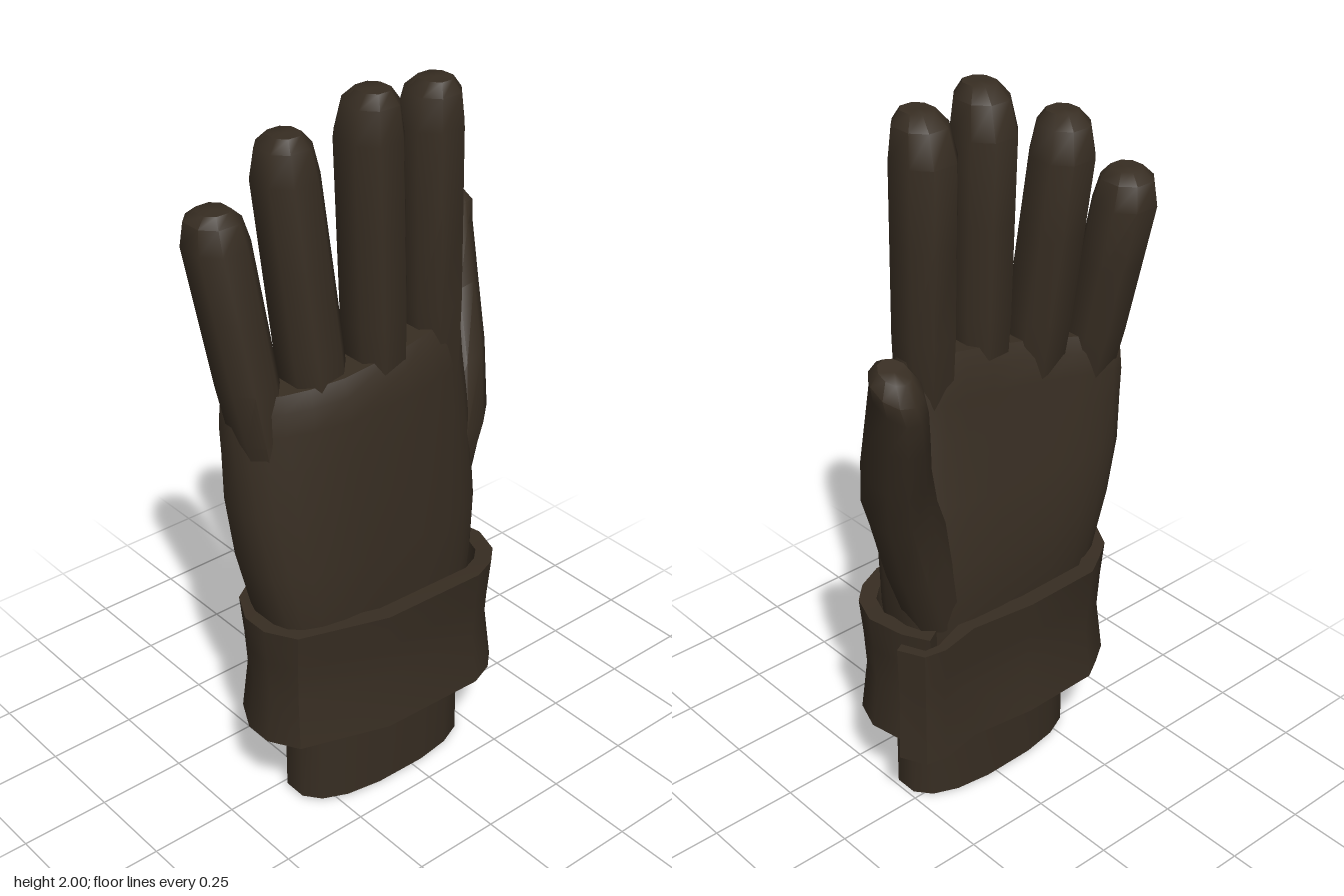
import * as THREE from 'three';
import { toCreasedNormals } from 'three/addons/utils/BufferGeometryUtils.js';

const leather = new THREE.MeshStandardMaterial({ color: 0x372d22 });
leather.name = 'dark brown leather';

// Skins a row of closed rings and caps both ends
function skin(rings, crease = 0.85) {
  const n = rings[0].length, pos = [], idx = [];
  rings.forEach(r => r.forEach(p => pos.push(p.x, p.y, p.z)));
  for (let i = 0; i < rings.length - 1; i++) {
    for (let j = 0; j < n; j++) {
      const a = i * n + j, b = i * n + (j + 1) % n;
      idx.push(a, a + n, b, b, a + n, b + n);
    }
  }
  [0, rings.length - 1].forEach((row, end) => {
    const c = new THREE.Vector3();
    rings[row].forEach(p => c.addScaledVector(p, 1 / n));
    const k = pos.length / 3;
    pos.push(c.x, c.y, c.z);
    for (let j = 0; j < n; j++) {
      const a = row * n + j, b = row * n + (j + 1) % n;
      if (end) idx.push(k, b, a); else idx.push(k, a, b);
    }
  });
  const g = new THREE.BufferGeometry();
  g.setAttribute('position', new THREE.Float32BufferAttribute(pos, 3));
  g.setIndex(idx);
  return toCreasedNormals(g, crease);
}

// Rounded ring between x0..x1 and z0..z1; tiltX / tiltZ slope it,
// bend curves the -x side back, skew slants the +x side back
function ring([y, x0, x1, z0, z1, tiltX = 0, tiltZ = 0, bend = 0, skew = 0], sides, power) {
  const pts = [], cx = (x0 + x1) / 2, cz = (z0 + z1) / 2;
  const fit = Math.pow(Math.cos(Math.PI / sides), power);
  const curve = v => Math.sign(v) * Math.pow(Math.abs(v), power) / fit;
  for (let j = 0; j < sides; j++) {
    const a = (j + 0.5) / sides * Math.PI * 2;
    const dx = curve(Math.cos(a)) * (x1 - x0) / 2, dz = curve(Math.sin(a)) * (z1 - z0) / 2;
    const x = cx + dx, back = Math.min(0, x + 0.05);
    pts.push(new THREE.Vector3(x, y + dx * tiltX + dz * tiltZ,
      cz + dz - bend * back * back - skew * dx));
  }
  return pts;
}
const loft = (rows, sides, power = 1) => skin(rows.map(r => ring(r, sides, power)));

// Finger from knuckle to tip: centre, half width and half depth at both ends;
// the first step is a narrow root sunk into the palm, the last ones round the tip
function finger([bx, by, bz], [tx, ty, tz], wBase, wTip, dBase, dTip) {
  const steps = [[-0.2, 0.55, 0], [0.08, 0.93, 0], [0.3, 1, 0], [0.6, 1, 0], [0.86, 1, 0],
    [0.96, 0.82, 0.01], [1, 0.5, 0.02]];
  return loft(steps.map(([t, s, forward]) => {
    const x = bx + (tx - bx) * t, z = bz + (tz - bz) * t + forward;
    const w = (wBase + (wTip - wBase) * t) * s, d = (dBase + (dTip - dBase) * t) * s;
    return [by + (ty - by) * t, x - w, x + w, z - d, z + d];
  }), 8, 0.85);
}

// Strap that wraps the wrist, flared at both edges, with its free end overlapping
function strap() {
  const path = [
    [0.26, -0.09], [0.3, -0.02], [0.32, 0.09], [0.29, 0.175], [0.24, 0.222], [0.165, 0.253],
    [-0.15, 0.253], [-0.39, 0.172], [-0.437, 0.09], [-0.437, 0.01], [-0.39, -0.08], [-0.33, -0.12],
    [-0.27, -0.155], [-0.04, -0.16], [0.14, -0.13], [0.25, -0.145], [0.31, -0.13], [0.347, -0.06]
  ].map(([x, z]) => new THREE.Vector3(x, 0, z));
  // [inset, height], down the outside and up the inside
  const profile = [[0.002, 0.627], [0.012, 0.52], [0.018, 0.42], [0, 0.268],
    [0.055, 0.268], [0.064, 0.42], [0.05, 0.627]];
  const last = path.length - 1;
  return skin(path.map((p, i) => {
    const t = path[Math.min(i + 1, last)].clone().sub(path[Math.max(i - 1, 0)]).normalize();
    const thick = i > last - 3 ? 0.6 : 1;
    const drop = Math.max(0, p.x) * 0.06 + Math.max(0, -p.z) * 0.06;
    return profile.map(([d, y]) =>
      new THREE.Vector3(p.x - t.z * d * thick, y - drop, p.z + t.x * d * thick));
  }), 0.7);
}

export function createModel() {
  const glove = new THREE.Group();
  glove.name = 'glove';
  const add = (name, geometry) => {
    const mesh = new THREE.Mesh(geometry, leather);
    mesh.name = name;
    glove.add(mesh);
  };

  // Hollow sleeve end: down the inside, then up the outside
  add('sleeve', loft([
    [0.32, -0.27, 0.18, -0.015, 0.13],
    [0.008, -0.27, 0.18, -0.015, 0.13, -0.02],
    [0.008, -0.325, 0.235, -0.065, 0.18, -0.02],
    [0.3, -0.325, 0.235, -0.065, 0.18],
    [0.52, -0.34, 0.24, -0.08, 0.18]
  ], 16, 0.8));

  add('cuffStrap', strap());

  // Palm, sloping up towards the index finger
  add('palm', loft([
    [0.42, -0.35, 0.24, -0.08, 0.18],
    [0.62, -0.395, 0.265, -0.105, 0.19],
    [0.78, -0.425, 0.27, -0.1, 0.192, 0, 0, 0.2],
    [0.95, -0.44, 0.25, -0.07, 0.188, 0, 0, 0.45],
    [1.1, -0.44, 0.225, -0.035, 0.185, 0.05, 0, 0.65],
    [1.2, -0.437, 0.205, -0.015, 0.18, 0.1, 0, 0.8],
    [1.27, -0.433, 0.197, -0.003, 0.174, 0.15, 0, 0.85],
    [1.315, -0.42, 0.187, 0.02, 0.152, 0.17, 0, 0.85]
  ], 24, 0.65));

  // Fingers
  add('indexFinger', finger([0.122, 1.15, 0.085], [0.12, 1.98, 0.072], 0.07, 0.076, 0.083, 0.084));
  add('middleFinger', finger([-0.057, 1.15, 0.085], [-0.076, 2.0, 0.075], 0.073, 0.076, 0.083, 0.084));
  add('ringFinger', finger([-0.212, 1.12, 0.055], [-0.262, 1.91, -0.02], 0.08, 0.075, 0.083, 0.08));
  add('littleFinger', finger([-0.362, 1.1, 0.012], [-0.42, 1.74, -0.092], 0.068, 0.077, 0.078, 0.08));

  // Thumb, leaning outwards and back
  add('thumb', loft([
    [0.6, 0.02, 0.245, -0.07, 0.12, 0, 0, 0, 0.3],
    [0.8, 0.08, 0.325, -0.095, 0.13, 0, 0, 0, 0.4],
    [1.0, 0.155, 0.39, -0.115, 0.13, 0, 0, 0, 0.55],
    [1.15, 0.22, 0.425, -0.16, 0.065, 0, 0.1, 0, 0.55],
    [1.3, 0.285, 0.45, -0.21, -0.02, 0, 0.25, 0, 0.4],
    [1.42, 0.335, 0.472, -0.248, -0.087, 0, 0.4, 0, 0.25],
    [1.47, 0.36, 0.485, -0.25, -0.115, 0, 0.45, 0, 0.1],
    [1.505, 0.39, 0.465, -0.225, -0.145, 0, 0.4]
  ], 10));
  return glove;
}
